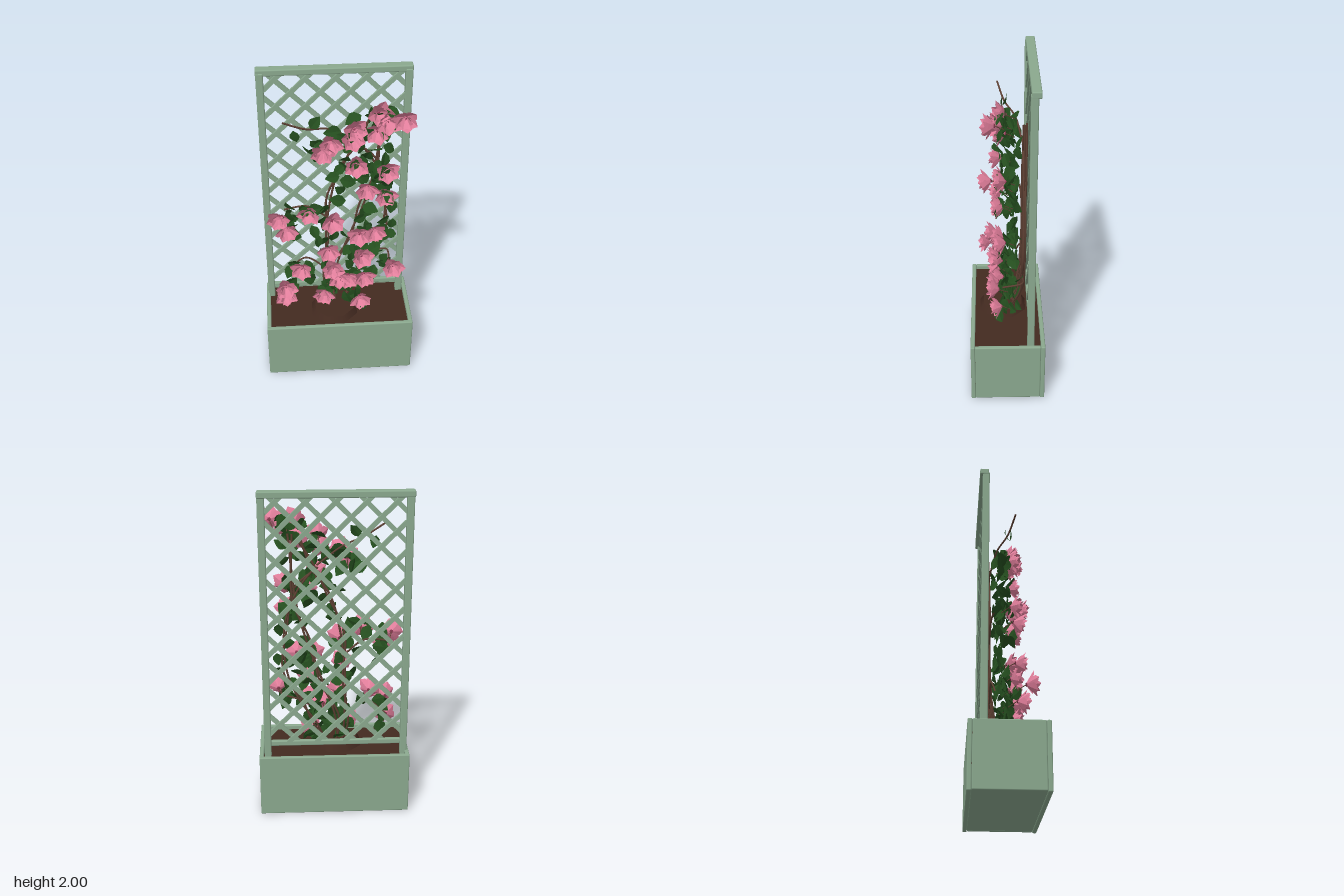
import * as THREE from 'three';
import { mergeGeometries } from 'three/addons/utils/BufferGeometryUtils.js';
import { RoundedBoxGeometry } from 'three/addons/geometries/RoundedBoxGeometry.js';

const mat = (name, color, extra = {}) => {
  const m = new THREE.MeshStandardMaterial({ color, ...extra });
  m.name = name;
  return m;
};
const both = { side: THREE.DoubleSide, flatShading: true };
const paint = mat('sage paint', 0x8aa88e);
const soilMat = mat('soil', 0x432a20);
const bark = mat('bark', 0x5e4033);
const green = mat('leaf green', 0x254f1f, both);
const pink = mat('petal pink', 0xe27f9c, both);
const heart = mat('flower heart', 0x8c3a54, { flatShading: true });

let seed = 7;
const rand = (a = 0, b = 1) => {
  seed = (seed * 16807) % 2147483647;
  return a + (b - a) * seed / 2147483647;
};

// Leaf or petal blade growing along +y, folded and curled towards +z
function blade(length, width, fold, curl, peak) {
  const g = new THREE.PlaneGeometry(1, 1, 2, 4);
  const p = g.attributes.position;
  for (let i = 0; i < p.count; i++) {
    const t = p.getY(i) + 0.5, side = p.getX(i) * 2;
    const w = Math.sin(Math.PI * Math.pow(t, peak)) * 0.5 * width + 0.002;
    p.setXYZ(i, side * w, t * length, Math.abs(side) * w * fold + curl * t * t * length);
  }
  g.computeVertexNormals();
  return g;
}

// Two rings of pointed petals opening towards +z
function flowerGeometry() {
  const parts = [];
  const ring = (n, length, width, lift, offset, z) => {
    for (let i = 0; i < n; i++) {
      const g = blade(length, width, 0.3, 0.1, 1.3);
      g.rotateX(lift + (i % 2) * 0.15);
      g.translate(0, 0.005, z);
      g.rotateZ(offset + i * Math.PI * 2 / n);
      parts.push(g);
    }
  };
  ring(6, 0.086, 0.062, 0.5, 0, 0);
  ring(6, 0.076, 0.044, 0.88, 0.5, 0.006);
  return mergeGeometries(parts);
}

// x, y, z of each bloom
const BLOOMS = [
  [.22, 1.79, .01], [.27, 1.75, .03], [.365, 1.79, .07], [.22, 1.68, .01], [.085, 1.70, .02],
  [.075, 1.64, .01], [-.04, 1.62, .01], [-.085, 1.57, .02], [.105, 1.475, .03], [.16, 1.36, .09],
  [.28, 1.415, .01], [.275, 1.26, .02], [-.35, 1.11, .01], [-.31, 1.035, .03], [-.165, 1.14, .01],
  [-.04, 1.07, .02], [-.06, .89, .06], [.13, .965, .02], [.22, .985, .01], [.335, .73, .05],
  [.14, .8, .03], [-.03, .715, .03], [-.22, .72, .02], [-.33, .64, .1], [-.33, .54, .05],
  [-.085, .52, .03], [.135, .465, .03], [.06, .635, .02], [.155, .665, .05], [0, .655, .04],
];

// Paths of the woody stems: first the main ones, then the side shoots
const MAIN = [
  [[-.05, .38, -.02], [-.075, .55, -.07], [-.06, .85, -.095], [-.05, 1.15, -.095], [.03, 1.38, -.095], [.12, 1.55, -.095], [.2, 1.72, -.095]],
  [[.03, .38, -.02], [.12, .56, -.08], [.2, .72, -.095], [.29, .9, -.095], [.28, 1.2, -.095], [.22, 1.42, -.095], [.1, 1.55, -.095]],
  [[-.02, .38, -.03], [-.02, .6, -.09], [.08, .85, -.1], [.15, 1.1, -.095], [.23, 1.35, -.1], [.25, 1.75, -.1]],
];
const SHOOTS = [
  [[.1, 1.56, -.09], [-.05, 1.66, -.05], [-.18, 1.7, .01], [-.31, 1.77, .05]],
  [[-.05, 1.0, -.095], [-.18, 1.1, -.09], [-.32, 1.09, -.08]],
  [[-.06, .6, -.09], [-.2, .7, -.09], [-.32, .6, -.07]],
  [[.2, .72, -.095], [.31, .75, -.08], [.315, .73, .03]],
];
const curveOf = (pts) => new THREE.CatmullRomCurve3(pts.map((p) => new THREE.Vector3(...p)));

export function createModel() {
  const model = new THREE.Group();
  model.name = 'planter with trellis and climbing flowers';
  const add = (name, geo, material, parent = model) => {
    const m = new THREE.Mesh(geo, material);
    m.name = name;
    parent.add(m);
    return m;
  };
  const group = (name) => {
    const g = new THREE.Group();
    g.name = name;
    model.add(g);
    return g;
  };
  const board = (name, size, pos, parent) =>
    add(name, new RoundedBoxGeometry(...size, 2, 0.007), paint, parent).position.set(...pos);

  // Planter box
  const planter = group('planter');
  for (const s of [-1, 1]) {
    board('longBoard', [.912, .392, .026], [0, .196, s * .21], planter);
    board('endBoard', [.026, .386, .393], [s * .443, .198, 0], planter);
  }
  board('planterFloor', [.87, .025, .4], [0, .02, 0], planter);
  add('soil', new THREE.BoxGeometry(.862, .33, .394), soilMat, planter).position.y = .2;
  const mound = add('soilMound', new THREE.CylinderGeometry(.13, .155, .04, 8), soilMat, planter);
  mound.position.set(-.025, .383, .025);
  mound.rotation.y = Math.PI / 8;

  // Trellis frame
  const trellis = group('trellis');
  for (const x of [-.422, .405]) board('post', [.042, 1.62, .042], [x, 1.17, -.137], trellis);
  board('topRail', [.872, .038, .054], [-.009, 1.981, -.147], trellis);
  board('bottomRail', [.8, .034, .026], [-.009, .45, -.137], trellis);

  // Diagonal lattice, clipped to the frame
  const x0 = -.41, x1 = .395, y0 = .45, y1 = 1.975, step = .17;
  for (const s of [-1, 1]) {
    const span = x1 - x0;
    for (let k = -5; k < 10; k++) {
      // height of the bar at the low end of its run
      const c = y0 + .06 + k * step;
      const a = Math.max(0, y0 - c), b = Math.min(span, y1 - c);
      if (b - a < .03) continue;
      const mid = (a + b) / 2;
      const bar = add('latticeBar', new THREE.BoxGeometry((b - a) * Math.SQRT2, .026, .016), paint, trellis);
      bar.position.set(s > 0 ? x0 + mid : x1 - mid, c + mid, -.137 + s * .007);
      bar.rotation.z = s * Math.PI / 4;
    }
  }

  // Stems, the main ones as two twining strands
  const vine = group('vine');
  const stem = (name, pts, r, n) => add(name, new THREE.TubeGeometry(curveOf(pts), n, r, 6), bark, vine);
  for (const pts of MAIN) {
    for (const s of [-1, 1]) {
      stem('mainStem', pts.map(([x, y, z], i) => [x + s * (i % 2 ? .012 : -.008), y, z + s * .005]), .0065, 28);
    }
  }
  for (const pts of SHOOTS) stem('sideShoot', pts, .0055, 20);

  // Leaves, broad and mostly facing forwards
  const leafGeo = blade(.1, .074, .22, -.15, .85);
  const leaf = (x, y, z) => {
    const m = add('leaf', leafGeo, green, vine);
    const turn = rand(-Math.PI, Math.PI);
    // centre the blade on the given point
    m.position.set(x + Math.sin(turn) * .04, y - Math.cos(turn) * .04, z);
    m.rotation.set(rand(-.5, .9), rand(-.9, .9), turn, 'ZYX');
    m.scale.setScalar(rand(.75, 1.05));
  };

  // Blooms with short stalks and surrounding leaves
  const petals = flowerGeometry();
  const core = new THREE.ConeGeometry(.012, .035, 6).rotateX(Math.PI / 2).translate(0, 0, .016);
  for (const [x, y, z] of BLOOMS) {
    const bloom = new THREE.Group();
    bloom.name = 'bloom';
    add('petals', petals, pink, bloom);
    add('flowerHeart', core, heart, bloom);
    bloom.position.set(x, y, z);
    bloom.rotation.set(rand(-.25, .25), rand(-.25, .25), rand(0, 6));
    vine.add(bloom);
    stem('stalk', [[x * .95, y - .03, z - .05], [x * .98, y - .015, z - .025], [x, y, z]], .0025, 5);
    for (let i = 0; i < 4; i++) {
      leaf(THREE.MathUtils.clamp(x + rand(-.06, .06), -.29, .29), y + rand(-.08, .02), rand(-.06, .04));
    }
  }

  // Leaves along the main stems
  for (const pts of MAIN) {
    const curve = curveOf(pts);
    for (let i = 0; i < 20; i++) {
      const p = curve.getPoint(.08 + i * .046);
      leaf(p.x + rand(-.05, .05), p.y, rand(-.07, .03));
    }
  }
  // Stray leaves at the edges of the plant
  for (const p of [[-.24, 1.66, .02], [-.13, 1.73, 0], [-.15, 1.52, -.02], [-.03, 1.36, 0], [-.27, .94, -.02], [-.16, .98, 0], [.06, .44, .02], [.12, .43, .02], [0, .52, 0]]) leaf(...p);

  return model;
}
